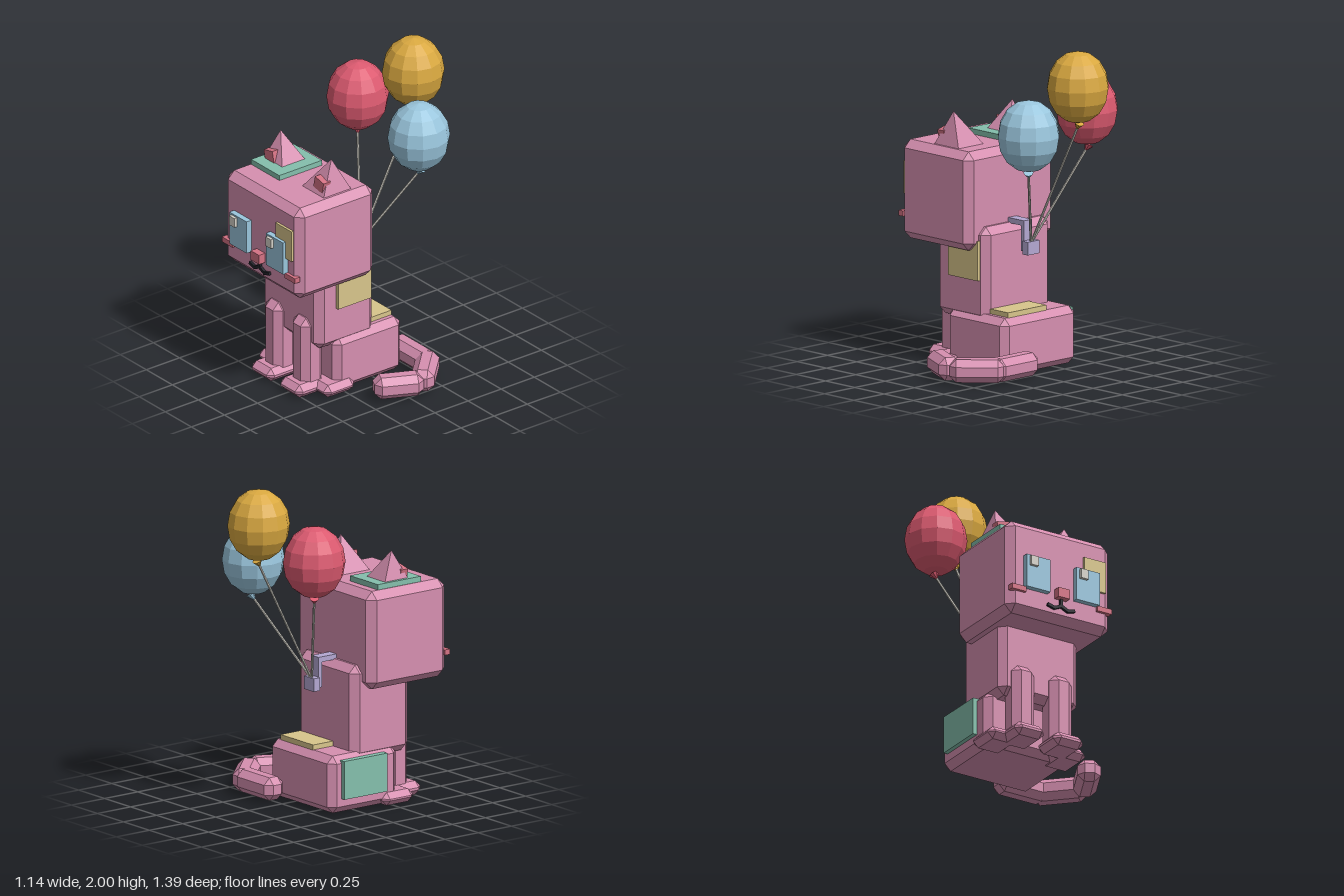
import * as THREE from 'three';
import { ConvexGeometry } from 'three/addons/geometries/ConvexGeometry.js';

const CX = -0.107; // mirror plane of the cat

function flat(geometry) {
  const g = geometry.index ? geometry.toNonIndexed() : geometry;
  g.computeVertexNormals();
  return g;
}

// Box with one chamfer on every edge
function chamferBox(w, h, d, c) {
  const points = [];
  for (const sx of [-1, 1]) for (const sy of [-1, 1]) for (const sz of [-1, 1]) {
    for (let face = 0; face < 3; face++) {
      points.push(new THREE.Vector3(
        sx * (w / 2 - (face === 0 ? 0 : c)),
        sy * (h / 2 - (face === 1 ? 0 : c)),
        sz * (d / 2 - (face === 2 ? 0 : c))));
    }
  }
  return new ConvexGeometry(points);
}

export function createModel() {
  const model = new THREE.Group();
  model.name = 'catWithBalloons';
  const mat = {};
  const colors = {
    pink: 0xd68fb0, red: 0xdc5a70, gold: 0xd9a840, blue: 0x9ac6dd, salmon: 0xd47284,
    sand: 0xd8c58b, green: 0x84bfac, lilac: 0xb4a8d2, lightGrey: 0xd6d3ca, black: 0x22222a,
  };
  for (const [name, color] of Object.entries(colors)) {
    mat[name] = new THREE.MeshStandardMaterial({ color });
    mat[name].name = name;
  }

  function add(name, geometry, color, parent = model) {
    const mesh = new THREE.Mesh(geometry, mat[color]);
    mesh.name = name;
    parent.add(mesh);
    return mesh;
  }
  // Box given by its limits; c > 0 chamfers it
  function block(name, color, [x0, x1], [y0, y1], [z0, z1], c = 0) {
    const size = [x1 - x0, y1 - y0, z1 - z0];
    const mesh = add(name, c ? chamferBox(...size, c) : new THREE.BoxGeometry(...size), color);
    mesh.position.set((x0 + x1) / 2, (y0 + y1) / 2, (z0 + z1) / 2);
    return mesh;
  }
  // Limits of a part at distance d from the mirror plane
  const span = (side, d, w) => [CX + side * d - w / 2, CX + side * d + w / 2];

  // Head and body
  block('head', 'pink', span(0, 0, 0.725), [0.74, 1.34], [0.05, 0.64], 0.047);
  block('torso', 'pink', span(0, 0, 0.555), [0.305, 0.88], [-0.01, 0.425], 0.045);
  block('haunches', 'pink', span(0, 0, 0.61), [0.01, 0.36], [-0.2, 0.31], 0.042);

  for (const s of [-1, 1]) {
    const side = s > 0 ? 'left' : 'right';

    // Legs and paws
    block(side + 'FrontLeg', 'pink', span(s, 0.132, 0.157), [0.02, 0.495], [0.315, 0.475], 0.043);
    block(side + 'FrontPaw', 'pink', span(s, 0.137, 0.207), [0.005, 0.09], [0.315, 0.545], 0.035);
    block(side + 'RearPaw', 'pink', span(s, 0.238, 0.207), [0.005, 0.085], [0.18, 0.41], 0.035);

    // Ears: pyramids leaning outwards
    const ear = new THREE.ConeGeometry(0.215 / Math.SQRT2, 0.215, 4);
    ear.rotateY(Math.PI / 4);
    ear.applyMatrix4(new THREE.Matrix4().makeShear(0, 0, s * 0.22, 0, 0, 0));
    add(side + 'Ear', flat(ear), 'pink').position.set(CX + s * 0.22, 1.4375, 0.3);
    const inner = block(side + 'InnerEar', 'salmon', span(s, 0.238, 0.085), [1.362, 1.436], [0.34, 0.393]);
    inner.rotation.z = -s * 0.22;

    // Eyes and cheeks
    block(side + 'Eye', 'blue', span(s, 0.175, 0.166), [0.9, 1.11], [0.62, 0.676]);
    const hx = CX + s * 0.175 - 0.061;
    block(side + 'EyeHighlight', 'lightGrey', [hx, hx + 0.05], [1.04, 1.1], [0.66, 0.695]);
    block(side + 'Cheek', 'salmon', span(s, 0.3, 0.1), [0.87, 0.903], [0.62, 0.66]);

    // Mouth curve in two strokes
    const mouth = [[0, 0.84], [0.047, 0.818], [0.09, 0.83]];
    for (let i = 0; i < 2; i++) {
      const [ax, ay] = mouth[i], [bx, by] = mouth[i + 1];
      const stroke = add(side + 'MouthStroke', new THREE.BoxGeometry(Math.hypot(bx - ax, by - ay) + 0.01, 0.019, 0.03), 'black');
      stroke.position.set(CX + s * (ax + bx) / 2, (ay + by) / 2, 0.642);
      stroke.rotation.z = s * Math.atan2(by - ay, bx - ax);
    }
  }
  block('nose', 'salmon', span(0, 0, 0.08), [0.882, 0.943], [0.62, 0.686]);
  block('mouthStem', 'black', span(0, 0, 0.019), [0.83, 0.885], [0.62, 0.657]);

  // Patches
  block('facePatch', 'sand', [0.052, 0.205], [1, 1.2], [0.62, 0.656]);
  block('torsoPatch', 'sand', [0.15, 0.19], [0.56, 0.8], [0.04, 0.29]);
  block('backPatch', 'sand', [-0.185, 0.13], [0.34, 0.39], [-0.16, 0]);
  block('headPatch', 'green', [-0.42, -0.15], [1.32, 1.373], [0.145, 0.468]);
  block('sidePatch', 'green', [-0.44, -0.4], [0.1, 0.335], [-0.125, 0.2]);

  // Tail: three chamfered pieces as [x, z, length, turn]
  const tail = [[0.19, -0.268, 0.34, 0], [0.415, -0.19, 0.33, -Math.PI / 4], [0.458, 0.048, 0.3, -2.02]];
  tail.forEach(([x, z, length, turn], i) => {
    const piece = add('tailPiece' + (i + 1), chamferBox(length, 0.14, 0.14, 0.04), 'pink');
    piece.position.set(x, 0.09, z);
    piece.rotation.y = turn;
  });

  // Balloon holder on the back
  block('holderArm', 'lilac', span(0, 0, 0.066), [0.874, 0.906], [-0.085, 0.06]);
  block('holderPost', 'lilac', span(0, 0, 0.066), [0.72, 0.88], [-0.086, -0.058]);
  block('holderGrip', 'lilac', span(0, 0, 0.096), [0.705, 0.785], [-0.132, -0.086]);

  // Balloons with knots and strings
  const grip = new THREE.Vector3(CX, 0.77, -0.11);
  const up = new THREE.Vector3(0, 1, 0);
  const balloons = [['red', -0.38, 1.577, -0.305], ['gold', CX, 1.782, -0.51], ['blue', 0.147, 1.498, -0.352]];
  for (const [color, x, y, z] of balloons) {
    const body = new THREE.SphereGeometry(0.188, 12, 8).scale(1, 1.16, 1);
    add(color + 'Balloon', flat(body), color).position.set(x, y, z);

    const knotPos = new THREE.Vector3(x, y - 0.24, z);
    const dir = knotPos.clone().sub(grip);
    const length = dir.length();
    const turn = new THREE.Quaternion().setFromUnitVectors(up, dir.normalize());
    const knot = add(color + 'Knot', flat(new THREE.ConeGeometry(0.03, 0.05, 8).rotateX(Math.PI)), color);
    knot.position.copy(knotPos);
    knot.quaternion.copy(turn);
    const string = add(color + 'String', flat(new THREE.CylinderGeometry(0.008, 0.008, length, 6)), 'lightGrey');
    string.position.copy(grip).lerp(knotPos, 0.5);
    string.quaternion.copy(turn);
  }
  return model;
}
